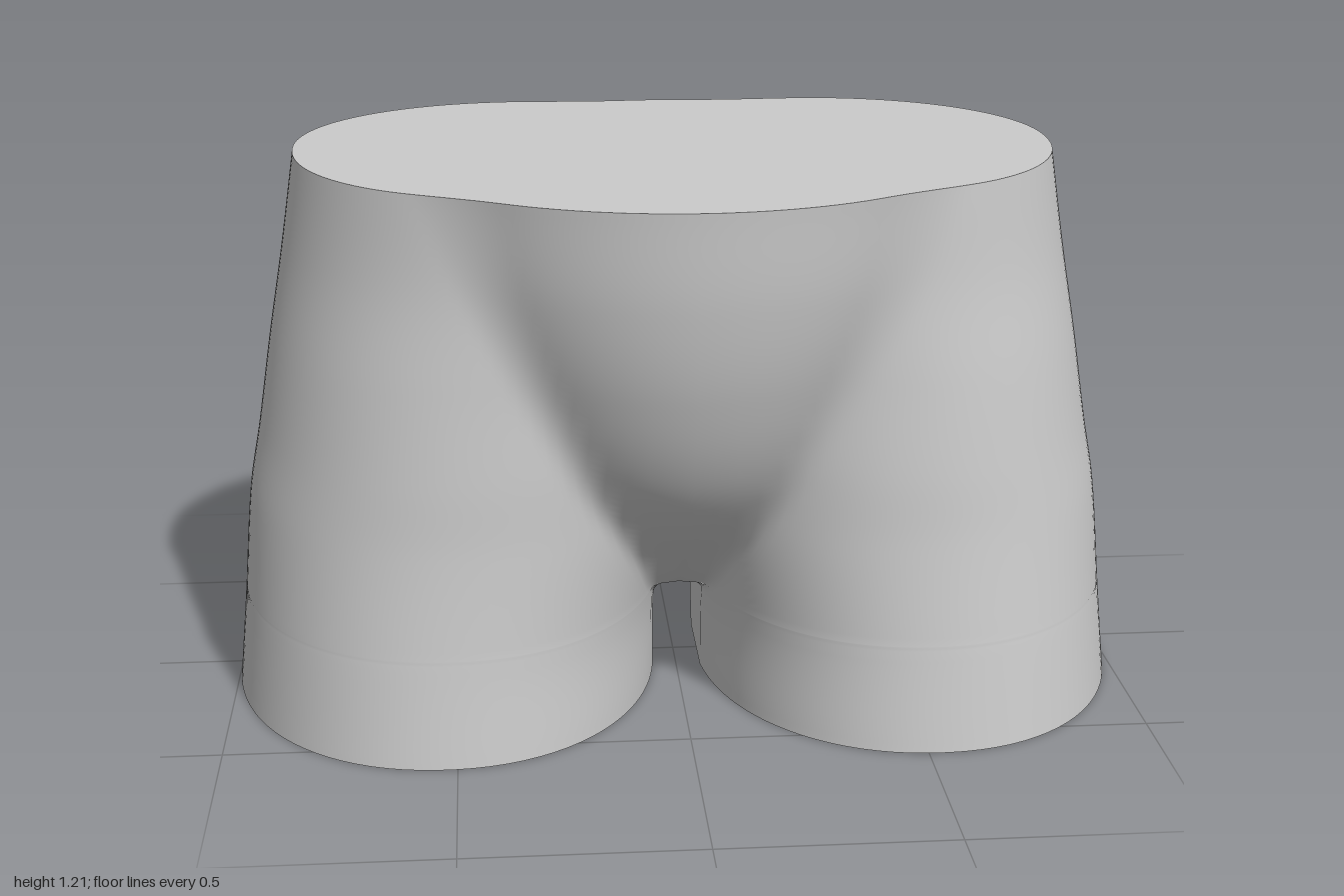
import * as THREE from 'three';
import { mergeVertices } from 'three/addons/utils/BufferGeometryUtils.js';

const TOP = 1.21, GAP = 0.055, OUTER = 96, INNER = 16;

// thigh and buttock sections: y, centre x, half width, front z, back depth, inward sweep of the back
const THIGH = [
  [0, 0.525, 0.475, 0.61, 0.55, 0.15],
  [0.2, 0.512, 0.468, 0.59, 0.645, 0.25],
  [0.45, 0.475, 0.482, 0.57, 0.715, 0.3],
  [0.6, 0.455, 0.475, 0.565, 0.705, 0.3],
  [0.8, 0.43, 0.468, 0.555, 0.655, 0.28],
  [1.0, 0.38, 0.483, 0.55, 0.585, 0.18],
  [TOP, 0.33, 0.5, 0.56, 0.5, 0],
];
// belly and pelvis sections: y, half width, front z, back depth
const PELVIS = [
  [0.19, 0.08, 0.08, 0.08],
  [0.235, 0.2, 0.17, 0.15],
  [0.3, 0.26, 0.27, 0.26],
  [0.45, 0.36, 0.45, 0.4],
  [0.6, 0.45, 0.57, 0.48],
  [0.8, 0.55, 0.655, 0.52],
  [1.0, 0.64, 0.7, 0.52],
  [TOP, 0.7, 0.72, 0.5],
];

// smooth interpolation through the rows of a section table
function sample(table, y) {
  let i = 0;
  while (i < table.length - 2 && y > table[i + 1][0]) i++;
  const a = table[i], b = table[i + 1];
  const p = table[i - 1] || a, q = table[i + 2] || b;
  const h = b[0] - a[0], t = THREE.MathUtils.clamp((y - a[0]) / h, 0, 1);
  return a.slice(1).map((_, k) => {
    const c = k + 1;
    const m0 = (b[c] - p[c]) / (b[0] - p[0]) * h;
    const m1 = (q[c] - a[c]) / (q[0] - a[0]) * h;
    const t2 = t * t, t3 = t2 * t;
    return a[c] * (2 * t3 - 3 * t2 + 1) + m0 * (t3 - 2 * t2 + t) + b[c] * (3 * t2 - 2 * t3) + m1 * (t3 - t2);
  });
}

// signed radial distance to a rounded oval
function oval(x, z, rx, rz, n) {
  const l = (Math.abs(x / rx) ** n + Math.abs(z / rz) ** n) ** (1 / n);
  return l < 1e-5 ? -Math.min(rx, rz) : Math.hypot(x, z) * (1 - 1 / l);
}

function smoothMin(a, b, k) {
  const h = Math.max(k - Math.abs(a - b), 0) / k;
  return Math.min(a, b) - h * h * k / 4;
}

// last inside distance along a line that starts inside
function edge(inside, max) {
  let lo = 0, hi = max;
  for (let i = 0; i < 32; i++) {
    const mid = (lo + hi) / 2;
    if (inside(mid)) lo = mid; else hi = mid;
  }
  return lo;
}

// one half of a horizontal section: outside wall from front to back, then the inner wall
function halfRing(y, xMin) {
  const [cx, rx, front, back, sweep] = sample(THIGH, y);
  const [pw, pf, pb] = sample(PELVIS, y);
  const n = 2.35 - 0.3 * y / TOP;
  const solid = (x, z) => {
    const shift = z < 0 ? sweep * z * z : 0;
    const leg = oval(x - cx + shift, z, rx, z > 0 ? front : back, z > 0 ? 2.1 : n);
    if (y < 0.19) return leg < 0;
    const core = oval(x, z, pw, z > 0 ? pf : pb, 2);
    return smoothMin(leg, core, 0.05) < 0;
  };
  const zf = edge(t => solid(xMin, t), 1);
  const zb = -edge(t => solid(xMin, -t), 1);
  const a0 = Math.atan2(xMin - cx, zf);
  const a1 = Math.atan2(xMin - cx, zb) + Math.PI * 2;
  const ring = [];
  for (let i = 0; i <= OUTER; i++) {
    if (i === 0 || i === OUTER) {
      ring.push([xMin, y, i ? zb : zf]);
      continue;
    }
    const a = a0 + (a1 - a0) * i / OUTER, s = Math.sin(a), c = Math.cos(a);
    const max = s < -1e-6 ? Math.min(1.5, (xMin - cx) / s) : 1.5;
    const r = edge(t => solid(cx + s * t, c * t), max);
    ring.push([cx + s * r, y, c * r]);
  }
  for (let i = 1; i < INNER; i++) ring.push([xMin, y, zb + (zf - zb) * i / INNER]);
  return ring;
}

// triangles on both sides of the middle plane
function mirrored(tris) {
  const pos = [];
  for (const [a, b, c] of tris) {
    pos.push(...a, ...b, ...c);
    for (const p of [a, c, b]) pos.push(-p[0], p[1], p[2]);
  }
  const g = new THREE.BufferGeometry();
  g.setAttribute('position', new THREE.Float32BufferAttribute(pos, 3));
  const merged = mergeVertices(g, 1e-5);
  merged.computeVertexNormals();
  return merged;
}

export function createModel() {
  const group = new THREE.Group();
  const material = new THREE.MeshStandardMaterial({ color: 0xcccccc });
  const add = (name, tris) => {
    const mesh = new THREE.Mesh(mirrored(tris), material);
    mesh.name = name;
    group.add(mesh);
  };

  // section heights, with the rounded arch between the legs
  const levels = [];
  for (let i = 0; i < 10; i++) levels.push([i * 0.02, GAP]);
  for (let i = 0; i <= 6; i++) {
    const a = i / 6 * Math.PI / 2;
    levels.push([0.2 + 0.035 * Math.sin(a), i === 6 ? 0 : GAP * Math.sqrt(Math.cos(a))]);
  }
  for (let i = 1; i <= 56; i++) levels.push([0.235 + (TOP - 0.235) * i / 56, 0]);
  const rings = levels.map(([y, x]) => halfRing(y, x));

  // body skin; the inner wall exists only below the arch
  const skin = [], count = OUTER + INNER;
  for (let j = 0; j < rings.length - 1; j++) {
    const columns = levels[j][1] === 0 ? OUTER : count;
    for (let i = 0; i < columns; i++) {
      const k = (i + 1) % count;
      const a = rings[j][i], b = rings[j][k], c = rings[j + 1][k], d = rings[j + 1][i];
      skin.push([a, b, c], [a, c, d]);
    }
  }
  add('hipsAndThighs', skin);

  // flat cut faces
  const cap = (ring, up) => {
    const centre = [0.45, ring[0][1], 0];
    return ring.map((p, i) => {
      const q = ring[(i + 1) % ring.length];
      return up ? [centre, p, q] : [centre, q, p];
    });
  };
  add('waistCut', cap(rings[rings.length - 1], true));
  add('thighCuts', cap(rings[0], false));
  return group;
}
